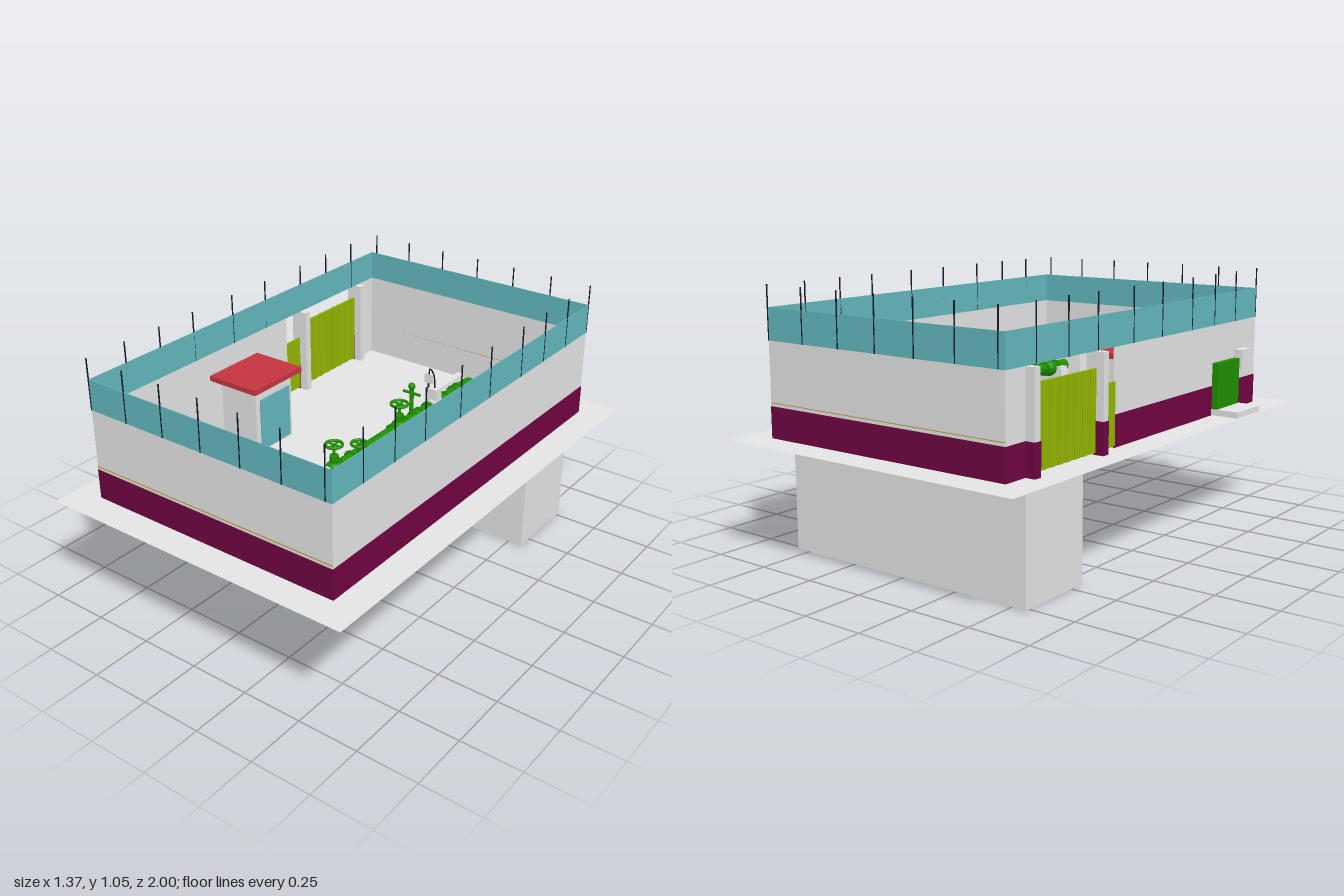
import * as THREE from 'three';

const G = 0.465, PX = 0.175, PY = 0.61; // ground level, pipeline x and y

export function createModel() {
  const root = new THREE.Group();
  root.name = 'pumpStation';
  const mat = (name, color, double) => {
    const m = new THREE.MeshStandardMaterial({ color });
    m.name = name;
    if (double) m.side = THREE.DoubleSide;
    return m;
  };
  const grey = mat('concrete grey', 0xe3e3e3, true);
  const maroon = mat('plinth maroon', 0x6e0440);
  const teal = mat('panel teal', 0x62b6bd);
  const green = mat('pipe green', 0x1e9000, true);
  const red = mat('roof red', 0xc43440);
  const blue = mat('motor blue', 0x3a08e0);
  const lime = mat('gate lime', 0x92b400);
  const dark = mat('post navy', 0x141a2c);
  const gold = mat('trim gold', 0xb08c20);

  const add = (name, geo, m, x = 0, y = 0, z = 0, parent = root) => {
    const mesh = new THREE.Mesh(geo, m);
    mesh.name = name;
    mesh.position.set(x, y, z);
    parent.add(mesh);
    return mesh;
  };
  // box from its minimum and maximum on each axis
  const box = (name, m, x0, x1, y0, y1, z0, z1) =>
    add(name, new THREE.BoxGeometry(x1 - x0, y1 - y0, z1 - z0), m, (x0 + x1) / 2, (y0 + y1) / 2, (z0 + z1) / 2);
  // cylinder between two points
  const rod = (name, m, a, b, r, sides = 16) => {
    const p = new THREE.Vector3(...a), q = new THREE.Vector3(...b);
    const mesh = add(name, new THREE.CylinderGeometry(r, r, p.distanceTo(q), sides), m);
    mesh.position.copy(p).lerp(q, 0.5);
    mesh.quaternion.setFromUnitVectors(new THREE.Vector3(0, 1, 0), q.sub(p).normalize());
    return mesh;
  };
  // box with a smaller top, centred on x and z
  const frustum = (name, m, x, z, w, d, wt, dt, y0, y1) => {
    const g = new THREE.BoxGeometry(w, y1 - y0, d);
    const p = g.attributes.position;
    for (let i = 0; i < p.count; i++) {
      if (p.getY(i) > 0) p.setXYZ(i, p.getX(i) * wt / w, p.getY(i), p.getZ(i) * dt / d);
    }
    const flat = g.toNonIndexed();
    flat.computeVertexNormals();
    return add(name, flat, m, x, (y0 + y1) / 2, z);
  };

  // ground sheet and underground tank
  add('ground', new THREE.PlaneGeometry(1.37, 2).rotateX(-Math.PI / 2), grey, 0, G, 0);
  box('undergroundTank', grey, -0.562, 0.562, 0.001, G - 0.0005, -0.77, -0.435);

  // perimeter walls: grey inside, maroon plinth plate outside, teal screen on top
  const T = 0.003, P = 0.0015, WX = 0.561, WZ = 0.877, B = G + 0.001;
  for (const s of [-1, 1]) {
    const z = s * (WZ - T / 2), o = s * WZ;
    box('wall', grey, -WX, WX, B, 0.84, z - T / 2, z + T / 2);
    box('wallPlinth', maroon, -WX - P, WX + P, B, 0.59, o - P, o + P);
    box('wallTrim', grey, -WX, WX, 0.595, 0.603, o - 0.002, o + 0.002);
    box('trimCap', gold, -WX, WX, 0.603, 0.605, o - 0.003, o + 0.003);
    box('screen', teal, -WX, WX, 0.84, 0.965, z - T / 2, z + T / 2);
  }
  const zi = WZ - T;
  const sideWall = (s, z0, z1) => {
    const x = s * (WX - T / 2), o = s * WX;
    box('wall', grey, x - T / 2, x + T / 2, B, 0.84, z0, z1);
    box('wallPlinth', maroon, o - P, o + P, B, 0.59, z0, z1);
  };
  sideWall(1, -zi, zi);
  sideWall(-1, -zi, -0.77);
  sideWall(-1, -0.24, zi);
  for (const s of [-1, 1]) {
    const x = s * (WX - T / 2);
    box('screen', teal, x - T / 2, x + T / 2, 0.84, 0.965, -zi, zi);
  }

  // thin posts along the screens
  const post = (x, z) => box('screenPost', dark, x - 0.002, x + 0.002, 0.84, 1.05, z - 0.002, z + 0.002);
  for (let i = 0; i < 7; i++) {
    post(-0.56 + i * 0.1822, WZ);
    post(0.56 - i * 0.1822, -WZ);
  }
  for (const z of [0.71, 0.53, 0.345, 0.115, -0.09, -0.325, -0.505, -0.69]) {
    post(0.56, z);
    post(-0.56, z - 0.02);
  }

  // gate with its pillars, ribs and side wicket
  for (const z of [-0.755, -0.35]) {
    box('pillarBase', maroon, -0.602, -WX, B, 0.59, z - 0.017, z + 0.017);
    box('pillar', grey, -0.6, -0.525, B, 0.84, z - 0.015, z + 0.015);
  }
  box('gate', lime, -0.568, -0.562, G + 0.01, 0.78, -0.74, -0.365);
  for (let i = 0; i < 8; i++) {
    const z = -0.722 + i * 0.047;
    box('gateRib', lime, -0.571, -0.559, G + 0.01, 0.78, z - 0.012, z + 0.012);
  }
  box('wicket', lime, -0.568, -0.562, G + 0.01, 0.715, -0.335, -0.24);

  // guard house
  box('houseWalls', grey, -0.49, -0.31, G, 0.75, 0.035, 0.255);
  box('houseRoof', red, -0.52, -0.28, 0.75, 0.772, 0, 0.29);
  box('houseDoor', teal, -0.31, -0.305, G + 0.01, 0.7, 0.05, 0.23);

  // electrical cabinet with fins on a concrete pad
  box('cabinetPad', grey, -0.685, -0.34, 0.468, 0.493, 0.5, 0.695);
  box('cabinet', green, -0.588, -0.5, 0.493, 0.685, 0.503, 0.69);
  box('cabinetRear', green, -0.5, -0.42, 0.493, 0.675, 0.51, 0.69);
  for (let i = 0; i < 10; i++) {
    const z = 0.52 + i * 0.0175;
    box('cabinetFin', green, -0.42, -0.4, 0.51, 0.66, z - 0.004, z + 0.004);
  }
  // wall units
  box('outerWallUnit', grey, -0.6, -0.56, 0.63, 0.72, 0.69, 0.77);
  box('innerWallUnit', grey, -0.4, -0.255, 0.7, 0.76, 0.805, 0.872);

  // main pipeline: up from the tank, along z, down into the ground
  const V = (...a) => new THREE.Vector3(...a);
  const tube = (name, pts, r) => {
    const path = new THREE.CurvePath();
    const toward = (a, b) => a.clone().lerp(b, Math.min(0.45, 0.045 / a.distanceTo(b)));
    let from = pts[0];
    for (let i = 1; i < pts.length - 1; i++) {
      const p = pts[i], before = toward(p, pts[i - 1]), after = toward(p, pts[i + 1]);
      path.add(new THREE.LineCurve3(from, before));
      path.add(new THREE.QuadraticBezierCurve3(before, p, after));
      from = after;
    }
    path.add(new THREE.LineCurve3(from, pts[pts.length - 1]));
    add(name, new THREE.TubeGeometry(path, 120, r, 14), green);
  };
  tube('mainPipe', [V(PX, 0.003, -0.605), V(PX, PY, -0.605), V(PX, PY, 0.695), V(PX, 0.49, 0.695)], 0.025);
  rod('tankOutlet', green, [PX, 0, -0.605], [PX, 0.003, -0.605], 0.022);
  rod('pipeEnd', green, [PX, PY, 0.65], [PX, PY, 0.715], 0.026);
  rod('pipeEndFlange', green, [PX, PY, 0.712], [PX, PY, 0.722], 0.03);
  rod('pipeOutlet', green, [PX, 0.513, 0.654], [PX, 0.4475, 0.7195], 0.025);
  tube('branchPipe', [V(PX, PY, 0.3), V(0.445, PY, 0.3), V(0.445, G, 0.3)], 0.023);

  // flanges
  for (const z of [-0.49, -0.455, -0.385, -0.26, -0.2, -0.16, -0.1, -0.01, 0.265, 0.335, 0.41]) {
    rod('flange', green, [PX, PY, z - 0.004], [PX, PY, z + 0.004], 0.032);
  }
  for (const x of [0.21, 0.27, 0.4, 0.43]) {
    rod('branchFlange', green, [x - 0.005, PY, 0.3], [x + 0.005, PY, 0.3], 0.034);
  }
  // blue motor on the branch
  rod('motor', blue, [0.28, PY, 0.3], [0.39, PY, 0.3], 0.034);
  for (const x of [0.285, 0.335, 0.385]) rod('motorRing', blue, [x - 0.006, PY, 0.3], [x + 0.006, PY, 0.3], 0.04);

  // gate valves with handwheels
  const valve = (x, z, top, r) => {
    add('valveBody', new THREE.SphereGeometry(0.036, 16, 10), green, x, PY, z);
    rod('valveBonnet', green, [x, PY, z], [x, PY + 0.06, z], 0.018, 12);
    rod('valveStem', green, [x, PY, z], [x, top, z], 0.006, 8);
    add('handwheel', new THREE.TorusGeometry(r, 0.006, 8, 20).rotateX(Math.PI / 2), green, x, top, z);
    for (let i = 0; i < 2; i++) {
      const c = i ? r : 0, s = i ? 0 : r;
      rod('wheelSpoke', green, [x - c, top, z - s], [x + c, top, z + s], 0.004, 6);
    }
  };
  valve(PX, 0.37, 0.715, 0.032);
  valve(0.24, 0.3, 0.71, 0.03);
  valve(PX, -0.055, 0.715, 0.034);
  // small vent valve
  rod('ventStem', green, [PX, PY, -0.14], [PX, 0.76, -0.14], 0.009, 10);
  rod('ventHandle', green, [PX - 0.04, 0.73, -0.14], [PX + 0.04, 0.73, -0.14], 0.006, 8);
  add('ventCap', new THREE.SphereGeometry(0.015, 12, 8), green, PX, 0.76, -0.14);

  // flow meter with its display post
  rod('flowMeter', grey, [PX, PY, -0.335], [PX, PY, -0.275], 0.034);
  box('meterHead', grey, 0.155, 0.2, 0.64, 0.69, -0.325, -0.285);
  rod('meterPost', dark, [0.115, 0.375, -0.355], [0.115, 0.69, -0.355], 0.004, 8);
  box('meterPostFooting', grey, 0.103, 0.127, 0.412, G + 0.01, -0.367, -0.343);
  box('meterDisplay', grey, 0.1, 0.14, 0.68, 0.72, -0.365, -0.345);
  const loop = new THREE.CatmullRomCurve3([V(0.115, 0.69, -0.355), V(0.13, 0.75, -0.34), V(0.17, 0.74, -0.31), V(0.178, 0.68, -0.305)]);
  add('meterCable', new THREE.TubeGeometry(loop, 20, 0.003, 6), dark);

  // pipe supports, with footings reaching below ground
  for (const z of [-0.42, -0.06, 0.21, 0.415]) {
    frustum('pipeSupport', grey, PX + 0.002, z, 0.168, 0.054, 0.1, 0.05, 0.44, 0.615);
  }
  // anchor block around the pipe
  frustum('anchorBlock', grey, PX + 0.002, 0.565, 0.215, 0.19, 0.155, 0.14, G, 0.7);

  // pump base at the tank with side walls
  box('pumpBase', green, 0.09, 0.26, G, 0.55, -0.675, -0.54);
  for (const s of [-1, 1]) {
    frustum('pumpSideWall', grey, PX + s * 0.115, -0.61, 0.05, 0.18, 0.028, 0.18, G, 0.58);
  }
  return root;
}
